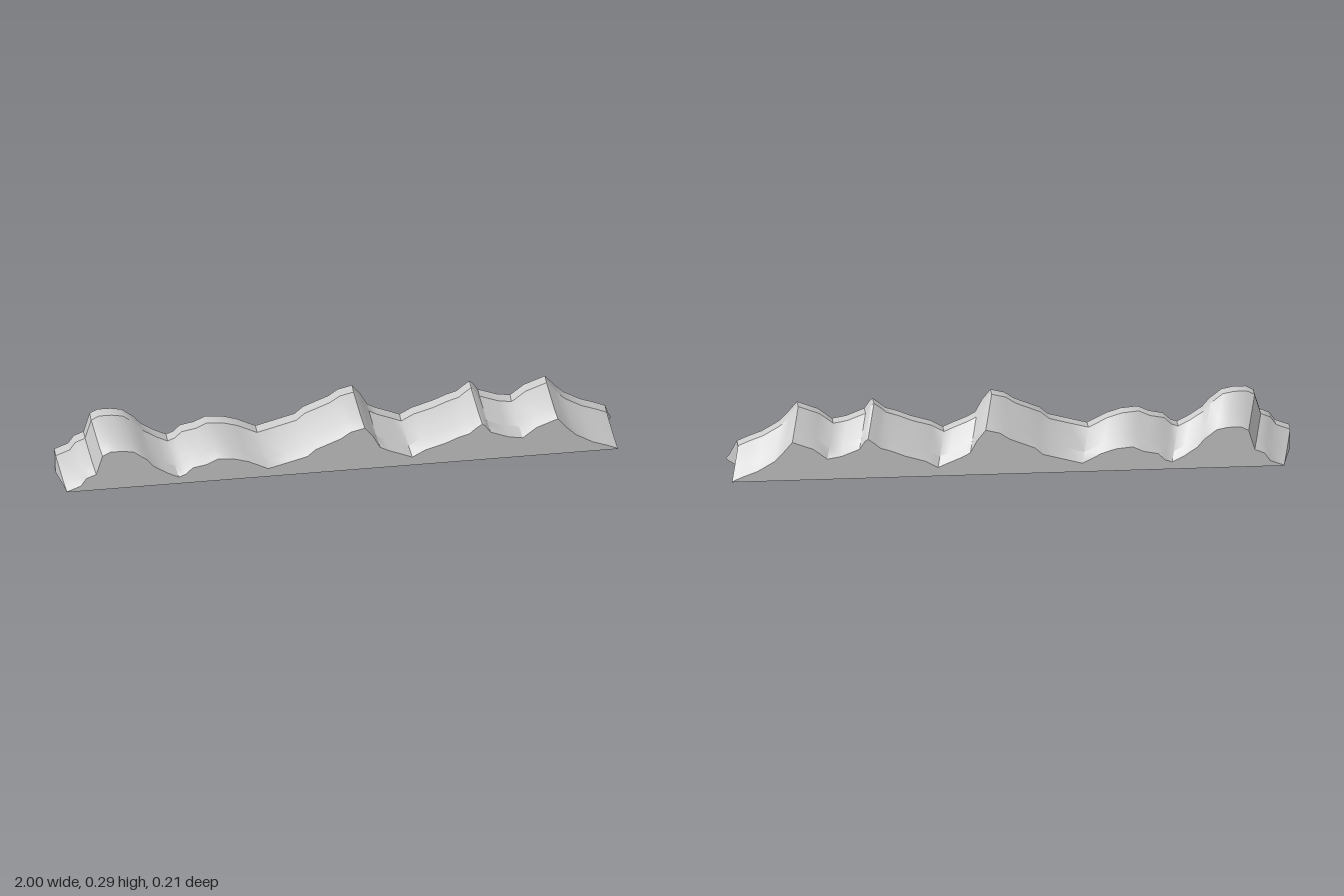
import * as THREE from 'three';
import { toCreasedNormals } from 'three/addons/utils/BufferGeometryUtils.js';

// Skyline of the ridge crest, as [x, y]
const crest = [
  [-1, .105], [-.95, .125], [-.93, .155], [-.895, .17], [-.873, .245], [-.845, .26], [-.8, .26],
  [-.76, .253], [-.715, .218], [-.69, .188], [-.64, .155], [-.6, .135], [-.575, .145], [-.55, .17],
  [-.5, .18], [-.46, .2], [-.4, .195], [-.35, .18], [-.28, .145], [-.21, .165], [-.14, .185],
  [-.11, .212], [-.02, .25], [.015, .275], [.065, .288], [.095, .25], [.12, .203], [.15, .187],
  [.2, .167], [.235, .152], [.28, .178], [.35, .2], [.4, .222], [.44, .235], [.46, .253],
  [.485, .272], [.495, .265], [.515, .235], [.58, .21], [.63, .202], [.68, .242], [.73, .262],
  [.755, .272], [.79, .23], [.82, .2], [.88, .165], [.93, .147], [.97, .13],
];

// Cross-section columns: z, shift along x, drop below the crest
const columns = [
  [-.106, .03, .102], [-.075, .02, .073], [-.023, 0, 0],
  [.023, 0, 0], [.075, .02, .073], [.106, .03, .102],
];

function ridgeGeometry() {
  const n = columns.length, ring = 2 * n;
  const positions = [], index = [];
  const quad = (a, b, c, d) => index.push(a, b, c, a, c, d);

  // One closed ring per station: over the top, then back along the hollow underside
  for (const [x, y] of crest) {
    const edgeY = .001 + .025 * (x + 1) / 1.97;
    for (const [z, dx, drop] of columns) positions.push(x + dx, y - drop, z);
    for (const [z, dx] of [...columns].reverse()) {
      const t = (Math.abs(z) - .023) / .083;
      positions.push(x + dx, THREE.MathUtils.lerp(.035, edgeY, t), z);
    }
  }
  for (let i = 0; i < crest.length - 1; i++) {
    for (let k = 0; k < ring; k++) {
      const a = i * ring + k, b = i * ring + (k + 1) % ring;
      quad(a, b, b + ring, a + ring);
    }
  }

  // Chevron-shaped end faces
  const last = (crest.length - 1) * ring;
  for (let j = 0; j < n - 1; j++) {
    const under = ring - 1 - j;
    quad(last + under, last + j, last + j + 1, last + under - 1);
    quad(under, under - 1, j + 1, j);
  }

  const geometry = new THREE.BufferGeometry();
  geometry.setAttribute('position', new THREE.Float32BufferAttribute(positions, 3));
  geometry.setIndex(index);
  return toCreasedNormals(geometry, .6);
}

export function createModel() {
  const group = new THREE.Group();
  group.name = 'mountainRidge';
  const ridge = new THREE.Mesh(ridgeGeometry(), new THREE.MeshStandardMaterial({ color: 0xcccccc }));
  ridge.name = 'ridge';
  group.add(ridge);
  return group;
}
